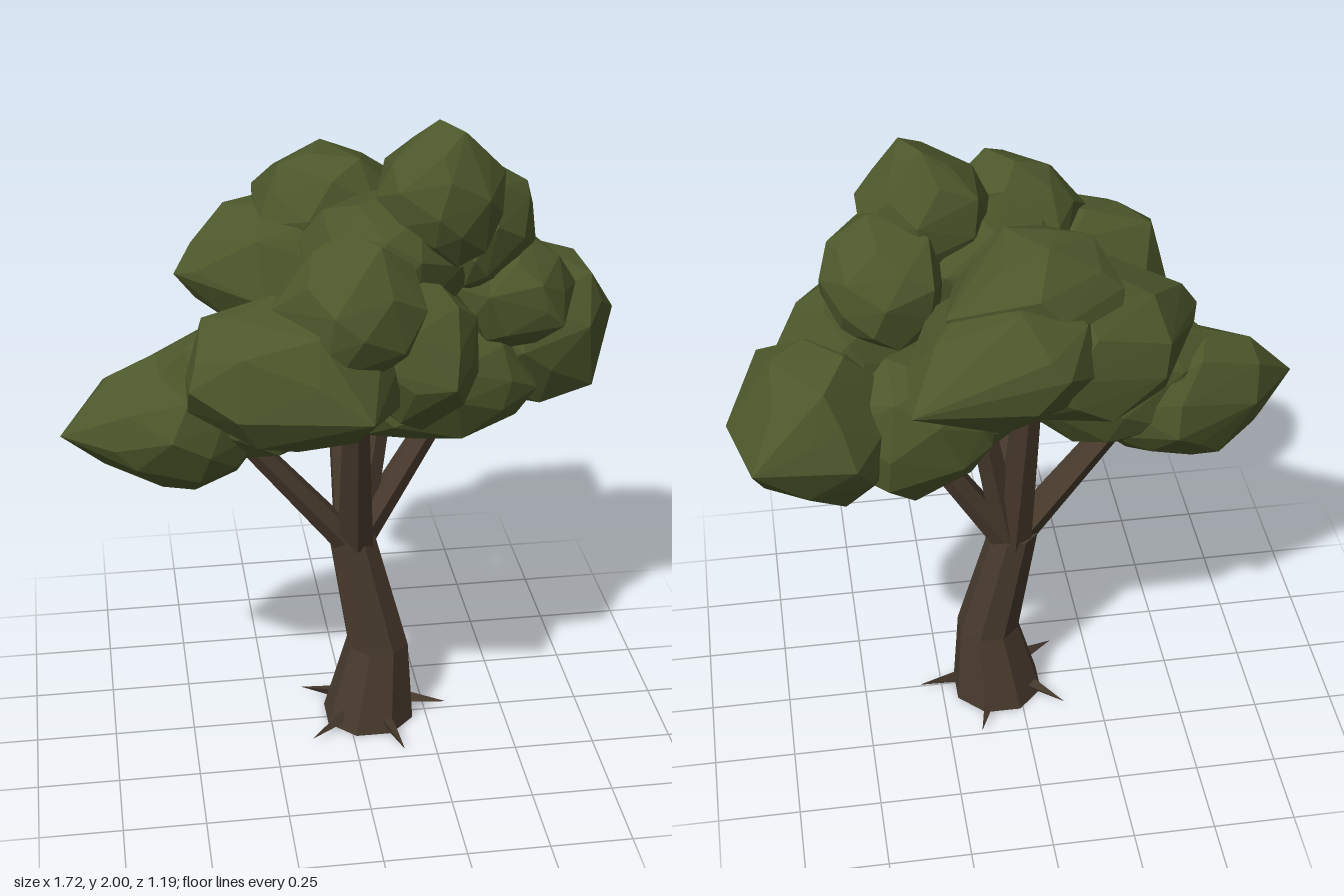
import * as THREE from 'three';
import { ConvexGeometry } from 'three/addons/geometries/ConvexGeometry.js';

// Seeded random numbers
function seeded(seed) {
  let s = seed;
  return () => (s = (s * 16807) % 2147483647) / 2147483647;
}

// Faceted limb through level rings [x, y, z, radius], closed at both ends
function limb(rings, sides) {
  const pos = [], idx = [];
  for (const [x, y, z, r] of rings) {
    for (let i = 0; i < sides; i++) {
      const a = ((i + 0.5) / sides) * Math.PI * 2;
      pos.push(x + Math.cos(a) * r, y, z + Math.sin(a) * r);
    }
  }
  for (let k = 0; k < rings.length - 1; k++) {
    for (let i = 0; i < sides; i++) {
      const a = k * sides + i, b = k * sides + ((i + 1) % sides);
      idx.push(a, a + sides, b, b, a + sides, b + sides);
    }
  }
  const top = (rings.length - 1) * sides;
  for (let i = 1; i < sides - 1; i++) {
    idx.push(0, i, i + 1, top, top + i + 1, top + i);
  }
  const g = new THREE.BufferGeometry();
  g.setAttribute('position', new THREE.Float32BufferAttribute(pos, 3));
  g.setIndex(idx);
  const flat = g.toNonIndexed();
  flat.computeVertexNormals();
  return flat;
}

// Irregular convex leaf clump: centre, half sizes and one corner that sticks out
function clump([cx, cy, cz, rx, ry, rz, tx, ty, tz], seed) {
  const rand = seeded(seed * 7919 + 13);
  for (let i = 0; i < 5; i++) rand();
  const count = 34, turn = rand() * 6.28, points = [];
  for (let i = 0; i < count; i++) {
    const y = 1 - (2 * (i + 0.5)) / count;
    const a = i * 2.39996 + turn + (rand() - 0.5) * 0.6;
    const r = Math.sqrt(1 - y * y), k = 0.88 + rand() * 0.16;
    points.push(new THREE.Vector3(Math.cos(a) * r * k, y * k, Math.sin(a) * r * k));
  }
  const box = new THREE.Box3().setFromPoints(points);
  const mid = box.getCenter(new THREE.Vector3()), size = box.getSize(new THREE.Vector3());
  const scale = new THREE.Vector3(2 * rx, 2 * ry, 2 * rz).divide(size);
  points.forEach((p) => p.sub(mid).multiply(scale).add(new THREE.Vector3(cx, cy, cz)));
  points.push(new THREE.Vector3(tx, ty, tz));
  return new ConvexGeometry(points);
}

export function createModel() {
  const tree = new THREE.Group();
  tree.name = 'tree';
  const bark = new THREE.MeshStandardMaterial({ color: 0x483a2d });
  bark.name = 'bark';
  const leaf = new THREE.MeshStandardMaterial({ color: 0x4c572b });
  leaf.name = 'leaf';
  const add = (name, geometry, material) => {
    const mesh = new THREE.Mesh(geometry, material);
    mesh.name = name;
    tree.add(mesh);
    return mesh;
  };

  // Bent trunk
  add('trunk', limb([
    [0.067, 0, -0.017, 0.148],
    [0.096, 0.27, -0.017, 0.1],
    [0.015, 0.66, -0.04, 0.076],
  ], 8), bark);

  // Branches spreading from the top of the trunk
  const branches = {
    leftBranch: [[0.01, 0.63, -0.03, 0.06], [-0.37, 1.1, 0, 0.042]],
    frontBranch: [[0.025, 0.63, -0.022, 0.06], [-0.005, 1.3, 0.21, 0.036]],
    rightBranch: [[0.035, 0.63, -0.045, 0.055], [0.33, 1.12, -0.08, 0.04]],
    backBranch: [[0.02, 0.63, -0.05, 0.062], [-0.02, 1.45, -0.2, 0.036]],
    innerBranch: [[0.03, 0.63, -0.05, 0.055], [0.14, 1.25, -0.13, 0.04]],
  };
  for (const [name, rings] of Object.entries(branches)) add(name, limb(rings, 6), bark);

  // Five pointed roots around the base
  for (let i = 0; i < 5; i++) {
    const a = (i / 5) * Math.PI * 2;
    const dir = new THREE.Vector3(Math.cos(a), -0.2, Math.sin(a)).normalize();
    const g = new THREE.ConeGeometry(0.034, 0.2, 3).toNonIndexed();
    g.computeVertexNormals();
    const root = add('root', g, bark);
    root.quaternion.setFromUnitVectors(new THREE.Vector3(0, 1, 0), dir);
    root.position.set(0.07 + Math.cos(a) * 0.155, 0.035, -0.01 + Math.sin(a) * 0.155);
  }

  // Leaf clumps: centre, half sizes, outlying corner
  const clumps = [
    [0.26, 1.79, 0.03, 0.19, 0.21, 0.17, 0.06, 1.72, 0.04],
    [-0.05, 1.57, 0.32, 0.21, 0.22, 0.2, 0.17, 1.55, 0.3],
    [-0.2, 1.39, 0.32, 0.3, 0.22, 0.22, -0.01, 1.35, 0.59],
    [0.17, 1.38, 0.22, 0.18, 0.22, 0.18, 0.25, 1.35, 0.41],
    [-0.51, 1.11, 0, 0.27, 0.22, 0.2, -0.86, 1.11, 0.06],
    [-0.31, 1.2, -0.01, 0.29, 0.22, 0.17, -0.62, 1.27, -0.03],
    [-0.14, 1.49, -0.23, 0.34, 0.21, 0.25, -0.5, 1.52, -0.14],
    [-0.02, 1.65, -0.25, 0.23, 0.2, 0.18, 0.25, 1.68, -0.37],
    [0.09, 1.53, -0.35, 0.27, 0.19, 0.2, 0.37, 1.53, -0.6],
    [0.61, 1.27, -0.21, 0.25, 0.25, 0.25, 0.8, 1.28, -0.46],
    [0.3, 1.17, -0.04, 0.27, 0.19, 0.2, 0.05, 1.02, 0],
    [0.5, 1.45, -0.07, 0.18, 0.17, 0.19, 0.7, 1.45, -0.08],
    [0.39, 1.65, -0.08, 0.18, 0.2, 0.2, 0.54, 1.78, -0.08],
    [0.1, 1.6, 0.03, 0.24, 0.21, 0.2, 0.08, 1.72, 0.2],
    [0.34, 1.25, -0.19, 0.27, 0.22, 0.2, 0.34, 1.02, -0.3],
  ];
  clumps.forEach((c, i) => add('leafClump', clump(c, i + 1), leaf));

  return tree;
}
